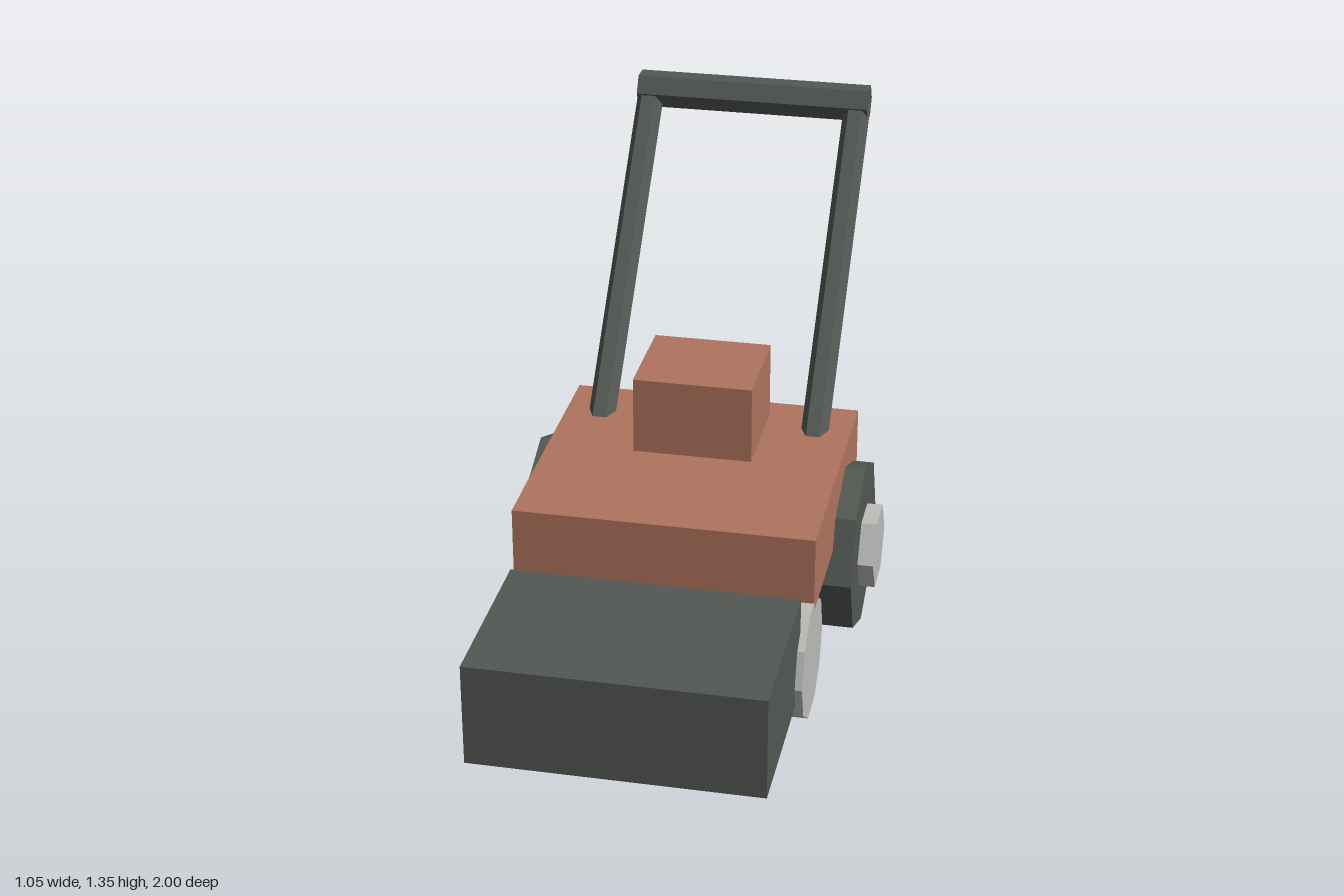
import * as THREE from 'three';

const paint = (color) => new THREE.MeshStandardMaterial({ color, flatShading: true });

export function createModel() {
  const group = new THREE.Group();
  const red = paint(0xb0745e);
  const dark = paint(0x535853);
  const metal = paint(0xbcbcb9);

  function add(name, geometry, material, x, y, z) {
    const mesh = new THREE.Mesh(geometry, material);
    mesh.name = name;
    mesh.position.set(x, y, z);
    group.add(mesh);
    return mesh;
  }

  // Faceted cylinder lying along x, with a corner pointing forward
  const bar = (radius, length, sides) =>
    new THREE.CylinderGeometry(radius, radius, length, sides).rotateZ(Math.PI / 2);

  // Body
  add('deck', new THREE.BoxGeometry(0.84, 0.22, 0.785), red, 0, 0.45, 0.005);
  add('engine', new THREE.BoxGeometry(0.34, 0.245, 0.3), red, 0, 0.6625, -0.16);
  add('grassBox', new THREE.BoxGeometry(0.8, 0.295, 0.5), dark, 0, 0.2875, 0.75);
  add('roller', bar(0.173, 0.84, 10), metal, 0, 0.2, 0.408);

  // Wheels, hubs and handle poles on both sides
  const low = new THREE.Vector3(0, 0.5, -0.188);
  const high = new THREE.Vector3(0, 1.305, -0.945);
  const direction = high.clone().sub(low);
  const middle = low.clone().add(high).multiplyScalar(0.5);
  for (const [side, s] of [['left', 1], ['right', -1]]) {
    add(side + 'Wheel', bar(0.25, 0.118, 8), dark, s * 0.42, 0.25, -0.147);
    add(side + 'Hub', bar(0.12, 0.1, 6), metal, s * 0.474, 0.25, -0.147);
    const pole = new THREE.CylinderGeometry(0.04, 0.04, direction.length(), 6, 1, false, Math.PI / 6);
    add(side + 'HandlePole', pole, dark, s * 0.315, middle.y, middle.z)
      .rotation.x = Math.atan2(direction.z, direction.y);
  }

  // Handle grip
  add('handleGrip', bar(0.055, 0.7, 6), dark, 0, 1.305, -0.945);

  return group;
}
